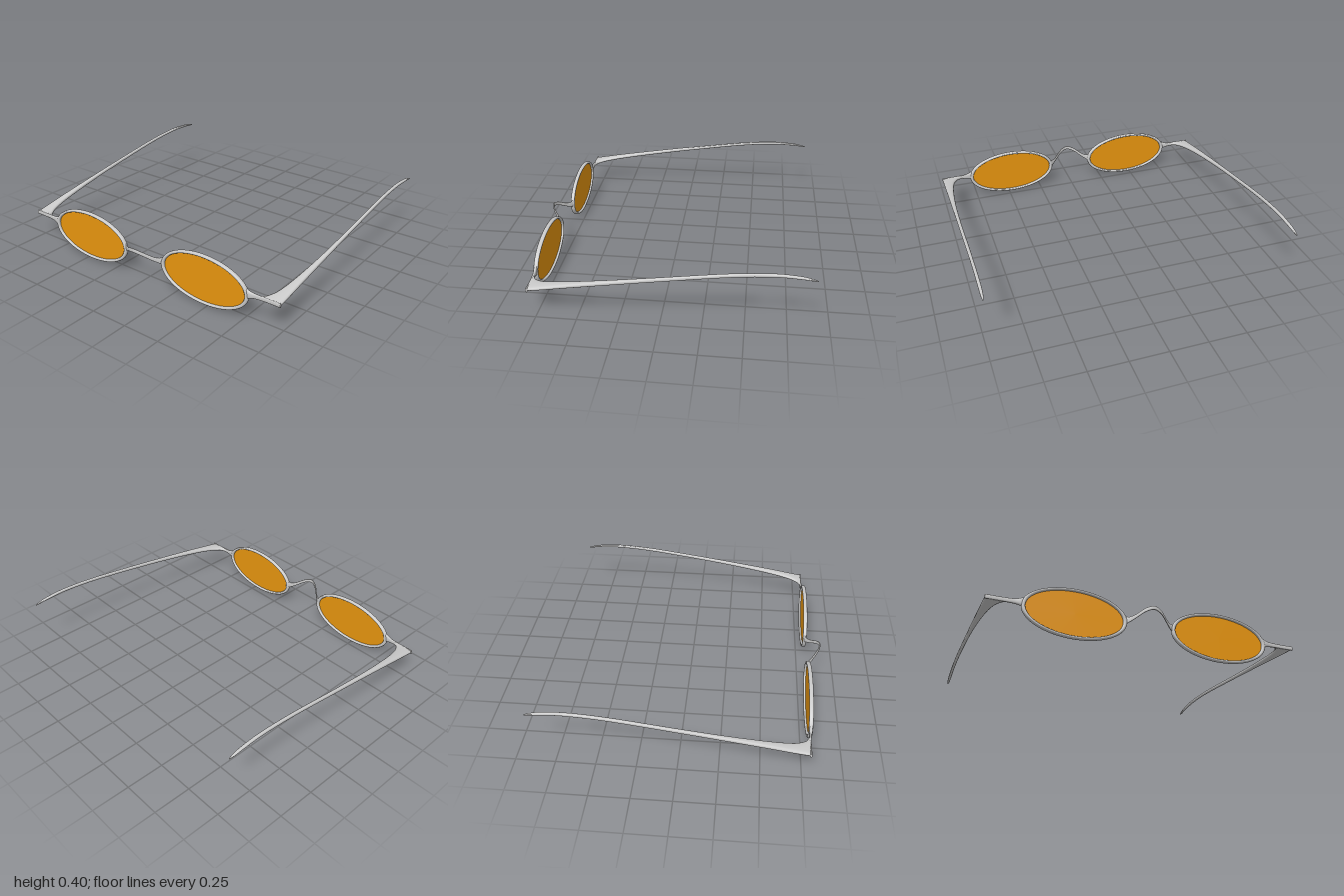
import * as THREE from 'three';

const V = (x, y, z) => new THREE.Vector3(x, y, z);
const metal = new THREE.MeshStandardMaterial({ color: 0xcccccc });
const tint = new THREE.MeshStandardMaterial({ color: 0xe8960f, side: THREE.DoubleSide });

// Skin through sections { c: centre, u, v: half axes }, with u x v along the path
function loft(sections, { closed = false, sides = 16, power = 0.75 } = {}) {
  const pos = [], idx = [];
  const round = (t) => Math.sign(t) * Math.pow(Math.abs(t), power);
  const ring = (s) => {
    for (let j = 0; j < sides; j++) {
      const a = (j / sides) * Math.PI * 2;
      const p = s.c.clone()
        .addScaledVector(s.u, round(Math.cos(a)))
        .addScaledVector(s.v, round(Math.sin(a)));
      pos.push(p.x, p.y, p.z);
    }
  };
  sections.forEach(ring);
  const n = sections.length;
  for (let i = 0; i < (closed ? n : n - 1); i++) {
    for (let j = 0; j < sides; j++) {
      const k = (j + 1) % sides, m = ((i + 1) % n) * sides;
      const a = i * sides + j, b = i * sides + k;
      idx.push(a, b, m + j, b, m + k, m + j);
    }
  }
  if (!closed) {
    // End caps with their own vertices, so the edge stays crisp
    [sections[0], sections[n - 1]].forEach((s, end) => {
      const base = pos.length / 3;
      ring(s);
      for (let j = 1; j < sides - 1; j++) {
        if (end) idx.push(base, base + j, base + j + 1);
        else idx.push(base, base + j + 1, base + j);
      }
    });
  }
  const g = new THREE.BufferGeometry();
  g.setAttribute('position', new THREE.Float32BufferAttribute(pos, 3));
  g.setIndex(idx);
  g.computeVertexNormals();
  return g;
}

// Smooth sections from rows [x, y, z, half size u, half size v]
function sectionsFrom(rows, uDir, vDir, count) {
  const path = new THREE.CatmullRomCurve3(rows.map((r) => V(r[0], r[1], r[2])), false, 'catmullrom', 0.5);
  const size = new THREE.CatmullRomCurve3(rows.map((r) => V(r[3], r[4], 0)), false, 'catmullrom', 0.5);
  return Array.from({ length: count + 1 }, (_, i) => {
    const s = size.getPoint(i / count);
    return {
      c: path.getPoint(i / count),
      u: uDir.clone().multiplyScalar(s.x),
      v: vDir.clone().multiplyScalar(s.y),
    };
  });
}

// Reflect sections in x; reversing the path keeps faces outward
function mirrored(sections) {
  const flip = V(-1, 1, 1);
  return sections.map(({ c, u, v }) => ({
    c: c.clone().multiply(flip), u: u.clone().multiply(flip), v: v.clone().multiply(flip),
  })).reverse();
}

export function createModel() {
  const model = new THREE.Group();
  const X = V(1, 0, 0), Y = V(0, 1, 0), Z = V(0, 0, 1);
  const add = (name, geometry, material = metal) => {
    const mesh = new THREE.Mesh(geometry, material);
    mesh.name = name;
    model.add(mesh);
    return mesh;
  };

  // Oval rims and tinted lenses
  const rimSections = Array.from({ length: 80 }, (_, i) => {
    const a = (i / 80) * Math.PI * 2, c = Math.cos(a), s = Math.sin(a);
    return { c: V(0.311 * c, 0.157 * s, 0), u: V(0, 0, 0.014), v: V(0.012 * c, 0.0085 * s, 0) };
  });
  for (const side of [1, -1]) {
    const label = side > 0 ? 'left' : 'right';
    add(label + 'Rim', loft(rimSections, { closed: true })).position.set(side * 0.467, 0.17, 0.798);
    const lens = new THREE.CircleGeometry(1, 80).scale(0.306, 0.153, 1);
    add(label + 'Lens', lens, tint).position.set(side * 0.467, 0.17, 0.798);
  }

  // Nose bridge: a thin strip arching up and forward, flared at the rims
  const half = [
    [0.15, 0.186, 0.797, 0.026, 0.008],
    [0.13, 0.189, 0.81, 0.018, 0.006],
    [0.1, 0.203, 0.835, 0.014, 0.005],
    [0.05, 0.235, 0.873, 0.013, 0.005],
  ];
  const bridge = [
    ...half.map(([x, ...r]) => [-x, ...r]),
    [0, 0.249, 0.889, 0.013, 0.005],
    ...half.slice().reverse(),
  ];
  add('bridge', loft(sectionsFrom(bridge, Y, Z, 48)));

  // End pieces reaching from the rims out to the hinge corners
  const endPiece = sectionsFrom([
    [0.778, 0.188, 0.798, 0.034, 0.01],
    [0.795, 0.188, 0.798, 0.024, 0.011],
    [0.83, 0.189, 0.794, 0.016, 0.008],
    [0.9, 0.19, 0.791, 0.014, 0.006],
    [0.998, 0.19, 0.791, 0.014, 0.006],
  ], Y, Z, 24);

  // Temples: [z, inner x, outer x, y, half height], wide at the corner
  const temple = sectionsFrom([
    [0.792, 0.83, 0.998, 0.189, 0.014],
    [0.775, 0.87, 0.998, 0.192, 0.014],
    [0.755, 0.893, 0.998, 0.195, 0.014],
    [0.69, 0.923, 0.998, 0.206, 0.014],
    [0.55, 0.947, 0.998, 0.23, 0.014],
    [0.3, 0.966, 0.998, 0.27, 0.013],
    [0, 0.975, 0.998, 0.316, 0.012],
    [-0.4, 0.977, 0.998, 0.373, 0.011],
    [-0.65, 0.977, 0.998, 0.393, 0.01],
    [-0.8, 0.977, 0.998, 0.388, 0.008],
    [-0.87, 0.98, 0.996, 0.378, 0.005],
    [-0.9, 0.985, 0.992, 0.372, 0.003],
  ].map(([z, a, b, y, h]) => [(a + b) / 2, y, z, h, (b - a) / 2]), Y, X, 66);

  add('leftEndPiece', loft(endPiece));
  add('rightEndPiece', loft(mirrored(endPiece)));
  add('leftTemple', loft(temple));
  add('rightTemple', loft(mirrored(temple)));
  return model;
}
